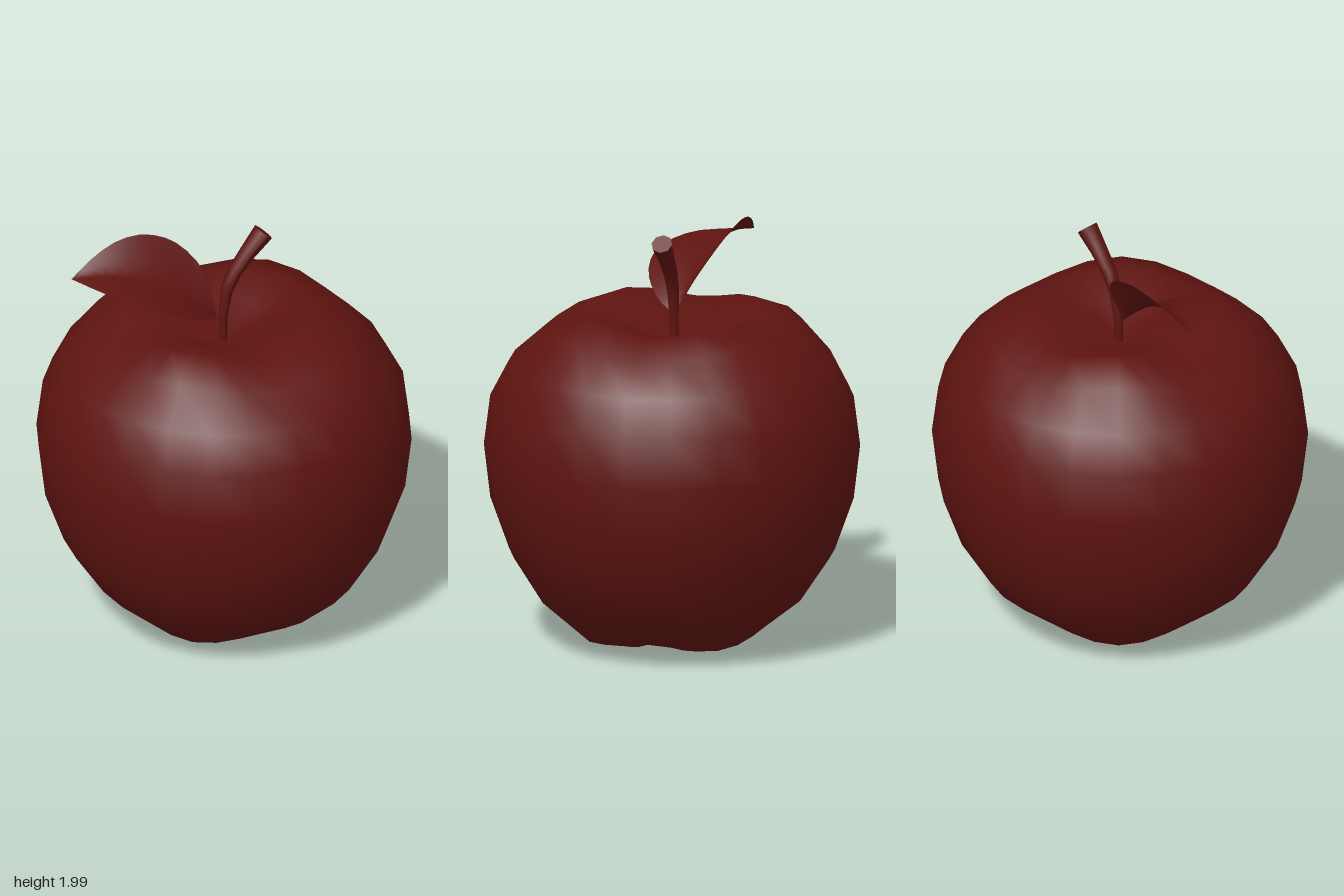
import * as THREE from 'three';
import { mergeVertices } from 'three/addons/utils/BufferGeometryUtils.js';

const red = new THREE.MeshStandardMaterial({ color: 0x5e1410 });
const redDouble = new THREE.MeshStandardMaterial({ color: 0x5e1410, side: THREE.DoubleSide });

// Weld seams so the surface shades smoothly all round
function smooth(geometry) {
  geometry.deleteAttribute('uv');
  geometry.deleteAttribute('normal');
  const welded = mergeVertices(geometry, 1e-4);
  welded.computeVertexNormals();
  return welded;
}

// Fruit: turned profile whose top and bottom swell into four diagonal lobes
function createFruit() {
  // height of each ring, and how far the lobes move it
  const rings = [
    [0.09, 0], [0.04, -0.04], [0.09, -0.04], [0.235, -0.02], [0.445, 0], [0.69, 0], [0.945, 0],
    [1.18, 0], [1.345, 0.01], [1.47, 0.06], [1.55, 0.05], [1.51, 0.02], [1.43, 0],
  ];
  const n = rings.length - 1;
  const profile = rings.map(([y], i) =>
    new THREE.Vector2(i % n ? 0.875 * Math.sin(Math.PI * i / n) : 0, y));
  const geometry = new THREE.LatheGeometry(profile, 24);
  const p = geometry.attributes.position;
  for (let i = 0; i < p.count; i++) {
    const lobe = Math.sin(2 * Math.atan2(p.getZ(i), p.getX(i))) ** 2;
    p.setY(i, p.getY(i) + rings[i % rings.length][1] * lobe);
  }
  const mesh = new THREE.Mesh(smooth(geometry), red);
  mesh.name = 'fruit';
  return mesh;
}

// Stem: cylinder bent along a curve, thicker towards its cut end
function createStem() {
  const points = [[0, 1.41], [0, 1.56], [0.018, 1.69], [0.06, 1.78], [0.13, 1.87], [0.208, 1.957]];
  const radii = [0.02, 0.022, 0.03, 0.035, 0.04, 0.05];
  const curve = new THREE.CatmullRomCurve3(points.map(([x, y]) => new THREE.Vector3(x, y, -0.01)));
  const rows = points.length - 1;
  const geometry = new THREE.CylinderGeometry(1, 1, 1, 8, rows);
  const p = geometry.attributes.position;
  for (let i = 0; i < p.count; i++) {
    const t = p.getY(i) + 0.5;
    const c = curve.getPoint(t);
    const d = curve.getTangent(t);
    const r = radii[Math.round(t * rows)];
    p.setXYZ(i, c.x + d.y * r * p.getX(i), c.y - d.x * r * p.getX(i), c.z + r * p.getZ(i));
  }
  geometry.computeVertexNormals();
  const mesh = new THREE.Mesh(geometry, red);
  mesh.name = 'stem';
  return mesh;
}

// Leaf: surface lofted over its back edge, midrib and front edge
function createLeaf() {
  const lines = [
    [[-0.03, 1.56, -0.01], [-0.045, 1.74, -0.1], [-0.11, 1.85, -0.17], [-0.2, 1.92, -0.215],
      [-0.325, 1.955, -0.237], [-0.45, 1.943, -0.24], [-0.58, 1.89, -0.225], [-0.69, 1.825, -0.2]],
    [[-0.03, 1.56, -0.01], [-0.09, 1.63, -0.03], [-0.18, 1.695, -0.045], [-0.27, 1.75, -0.06],
      [-0.37, 1.795, -0.08], [-0.48, 1.83, -0.11], [-0.59, 1.84, -0.15], [-0.69, 1.825, -0.2]],
    [[-0.03, 1.56, -0.01], [-0.07, 1.6, 0.07], [-0.16, 1.655, 0.145], [-0.27, 1.71, 0.19],
      [-0.38, 1.765, 0.19], [-0.49, 1.805, 0.13], [-0.59, 1.825, 0.03], [-0.69, 1.825, -0.2]],
  ].map((line) => new THREE.CatmullRomCurve3(line.map((q) => new THREE.Vector3(...q))));
  const rows = 14, cols = 4;
  const geometry = new THREE.PlaneGeometry(1, 1, cols, rows);
  const p = geometry.attributes.position;
  for (let i = 0; i < p.count; i++) {
    const t = 0.5 - p.getY(i);
    const s = 2 * (p.getX(i) + 0.5);
    const k = Math.min(Math.floor(s), 1);
    const q = lines[k].getPoint(t).lerp(lines[k + 1].getPoint(t), s - k);
    // each half sags a little between midrib and edge
    q.y -= 0.012 * Math.sin(Math.PI * t) * Math.sin(Math.PI * (s - k)) * (k ? -1 : 1);
    p.setXYZ(i, q.x, q.y, q.z);
  }
  const mesh = new THREE.Mesh(smooth(geometry), redDouble);
  mesh.name = 'leaf';
  return mesh;
}

export function createModel() {
  const group = new THREE.Group();
  group.name = 'apple';
  group.add(createFruit(), createStem(), createLeaf());
  return group;
}
